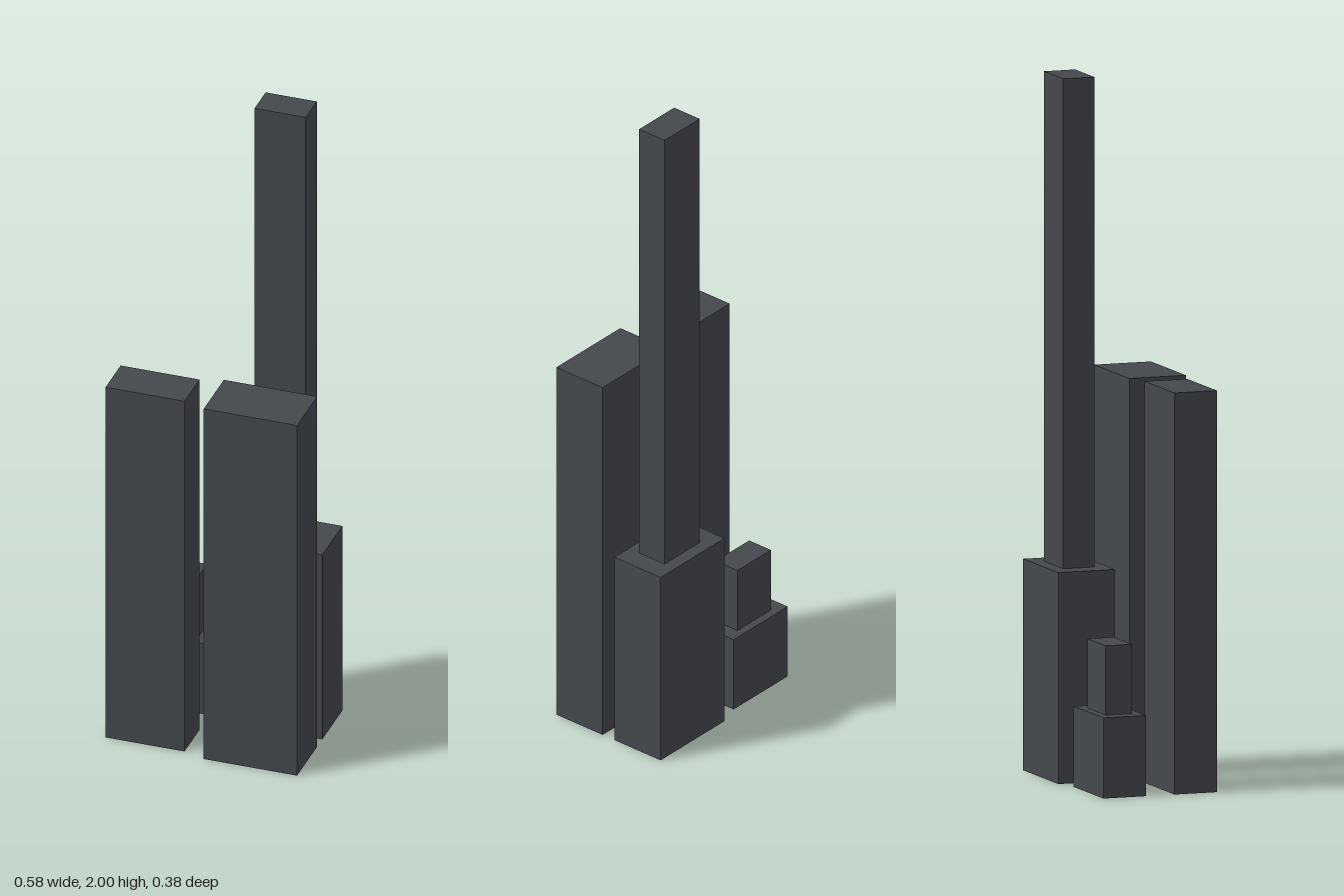
import * as THREE from 'three';

export function createModel() {
  const group = new THREE.Group();
  const darkGrey = new THREE.MeshStandardMaterial({ color: 0x44484c });
  darkGrey.name = 'darkGrey';

  // Box from its centre in plan, its footprint and its bottom and top heights
  function block(name, x, z, width, depth, bottom, top) {
    const mesh = new THREE.Mesh(new THREE.BoxGeometry(width, top - bottom, depth), darkGrey);
    mesh.name = name;
    mesh.position.set(x, (bottom + top) / 2, z);
    group.add(mesh);
  }

  const wide = { x: 0.15, width: 0.279, depth: 0.171 };
  const narrow = { x: -0.1725, width: 0.236, depth: 0.128 };
  const frontZ = 0.106, backZ = -0.108;

  // Two plain towers at the front
  block('frontWideTower', wide.x, frontZ, wide.width, wide.depth, 0, 1.145);
  block('frontNarrowTower', narrow.x, frontZ, narrow.width, narrow.depth, 0, 1.145);

  // Two stepped towers at the back, each a podium with a slimmer shaft
  block('tallTowerPodium', wide.x, backZ, wide.width, wide.depth, 0, 0.603);
  block('tallTowerShaft', wide.x, backZ, 0.153, 0.094, 0.603, 2);
  block('lowTowerPodium', narrow.x, backZ, narrow.width, narrow.depth, 0, 0.23);
  block('lowTowerShaft', narrow.x, backZ, 0.146, 0.08, 0.23, 0.428);

  return group;
}
